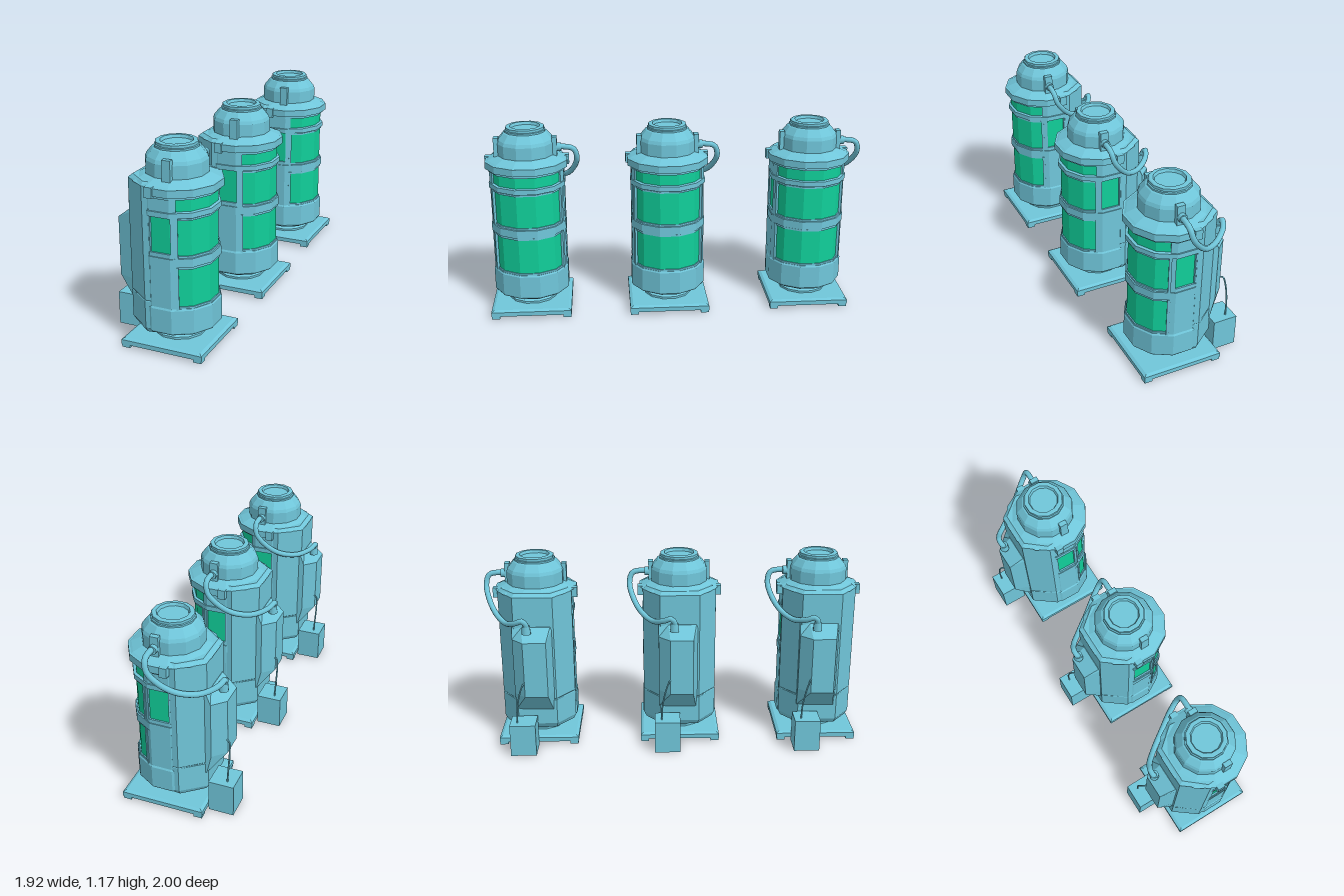
import * as THREE from 'three';

const blue = new THREE.MeshStandardMaterial({ color: 0x70c6da });
blue.name = 'blue metal';
const green = new THREE.MeshStandardMaterial({ color: 0x10cf9a });
green.name = 'green glass';

const RAD = Math.PI / 180;

function add(parent, name, geometry, material = blue) {
  const mesh = new THREE.Mesh(geometry, material);
  mesh.name = name;
  parent.add(mesh);
  return mesh;
}

// Hard facets without a separate material
function flat(geometry) {
  const g = geometry.index ? geometry.toNonIndexed() : geometry;
  g.computeVertexNormals();
  return g;
}

function box(w, h, d, x, y, z) {
  return new THREE.BoxGeometry(w, h, d).translate(x, y, z);
}

// Upright prism from [x, z] outline points
function prism(points, y0, y1) {
  const shape = new THREE.Shape(points.map(([x, z]) => new THREE.Vector2(x, -z)));
  return new THREE.ExtrudeGeometry(shape, { depth: y1 - y0, bevelEnabled: false })
    .rotateX(-Math.PI / 2).translate(0, y0, 0);
}

// Part of a twelve-sided ring between two angles (0 is the front, 90 is +x)
function sector(r0, r1, y0, y1, a0, a1) {
  const angles = [a0];
  for (let a = -345; a < 345; a += 30) if (a > a0 + 0.1 && a < a1 - 0.1) angles.push(a);
  angles.push(a1);
  const at = (r, a) => {
    const off = a - Math.round(a / 30) * 30;
    const d = r * Math.cos(15 * RAD) / Math.cos(off * RAD);
    return [d * Math.sin(a * RAD), d * Math.cos(a * RAD)];
  };
  return prism([...angles.map(a => at(r1, a)), ...angles.reverse().map(a => at(r0, a))], y0, y1);
}

// Twelve-sided turned part from [radius, y] points
function turned(points) {
  return flat(new THREE.LatheGeometry(points.map(p => new THREE.Vector2(...p)), 12, 15 * RAD));
}

// Skin over stacked cross-sections, each { y, points: [x, z] }
function loft(sections) {
  const n = sections[0].points.length;
  const pos = sections.flatMap(s => s.points.flatMap(([x, z]) => [x, s.y, z]));
  const idx = [];
  for (let s = 0; s < sections.length - 1; s++) {
    for (let i = 0; i < n; i++) {
      const a = s * n + i, b = s * n + (i + 1) % n;
      idx.push(a, b, b + n, a, b + n, a + n);
    }
  }
  const top = (sections.length - 1) * n;
  for (let i = 1; i < n - 1; i++) idx.push(0, i + 1, i, top, top + i, top + i + 1);
  const g = new THREE.BufferGeometry();
  g.setAttribute('position', new THREE.Float32BufferAttribute(pos, 3));
  g.setIndex(idx);
  return flat(g);
}

function tube(points, radius, sides) {
  const curve = new THREE.CatmullRomCurve3(points.map(p => new THREE.Vector3(...p)));
  return new THREE.TubeGeometry(curve, 40, radius, sides);
}

function createTank() {
  const tank = new THREE.Group();

  // Base plate with chamfered top and corner feet
  add(tank, 'basePlate', box(0.495, 0.027, 0.495, 0, 0.0315, 0));
  add(tank, 'basePlateTop', flat(new THREE.CylinderGeometry(0.325, 0.35, 0.01, 4, 1, false, Math.PI / 4).translate(0, 0.05, 0)));
  for (const x of [-0.22, 0.22]) for (const z of [-0.22, 0.22]) {
    add(tank, 'baseFoot', box(0.05, 0.02, 0.05, x, 0.01, z));
  }

  // Pedestal and lower body
  add(tank, 'pedestal', turned([[0.15, 0.05], [0.15, 0.068], [0.122, 0.08], [0.122, 0.09], [0.145, 0.102]]));
  add(tank, 'lowerBody', turned([[0, 0.1], [0.185, 0.1], [0.232, 0.125], [0.238, 0.135], [0.238, 0.27], [0.232, 0.28], [0.2, 0.28]]));

  // Glass cylinder and the rings around it
  add(tank, 'glass', turned([[0.222, 0.27], [0.222, 0.95]]), green);
  add(tank, 'middleRing', turned([[0.21, 0.52], [0.236, 0.525], [0.236, 0.575], [0.21, 0.58]]));
  add(tank, 'upperRing', turned([[0.21, 0.798], [0.238, 0.805], [0.238, 0.835], [0.21, 0.842]]));

  // Solid rear wall between the rings, leaving the windows open
  add(tank, 'lowerWall', sector(0.2, 0.232, 0.28, 0.525, 66, 294));
  add(tank, 'windowWall', sector(0.2, 0.232, 0.575, 0.805, 104, 256));
  add(tank, 'upperWall', sector(0.2, 0.232, 0.835, 0.93, 66, 294));

  // Window posts and frames, mirrored
  for (const s of [-1, 1]) {
    const arc = (r, y0, y1, a, b) => sector(0.21, r, y0, y1, Math.min(s * a, s * b), Math.max(s * a, s * b));
    add(tank, 'windowPost', arc(0.232, 0.575, 0.805, 65, 74));
    add(tank, 'upperFrame', arc(0.238, 0.575, 0.805, 64, 68));
    add(tank, 'lowerFrame', arc(0.238, 0.275, 0.525, 64, 68));
    add(tank, 'sideWindowSill', arc(0.232, 0.575, 0.6, 74, 104));
  }
  for (const [y0, y1] of [[0.28, 0.291], [0.51, 0.522], [0.577, 0.588], [0.79, 0.8]]) {
    add(tank, 'frameRail', sector(0.21, 0.229, y0, y1, -65, 65));
  }

  // Collar round the front, ending in small blocks at the housing
  add(tank, 'collarLower', sector(0.2, 0.238, 0.908, 0.93, -100, 100));
  add(tank, 'collar', sector(0.2, 0.256, 0.925, 0.968, -100, 100));
  for (const s of [-1, 1]) add(tank, 'collarEnd', box(0.035, 0.06, 0.045, s * 0.24, 0.945, -0.045));

  // Angular rear housing
  const housing = k => [[-0.2, -0.05], [0.2, -0.05], [0.222 * k, -0.065], [0.225 * k, -0.1],
    [0.12 * k, -0.238 * k], [-0.12 * k, -0.238 * k], [-0.225 * k, -0.1], [-0.222 * k, -0.065]];
  add(tank, 'rearHousing', loft([
    { y: 0.11, points: housing(0.93) }, { y: 0.14, points: housing(1) },
    { y: 0.3, points: housing(1) }, { y: 0.305, points: housing(0.985) }, { y: 0.31, points: housing(1) },
    { y: 0.965, points: housing(1) }, { y: 0.985, points: housing(0.9) },
  ]));

  // Backpack unit with tapered ends
  const flush = [[-0.12, -0.2], [0.13, -0.2], [0.13, -0.232], [0.07, -0.24], [-0.1, -0.24]];
  const full = [[-0.12, -0.2], [0.13, -0.2], [0.13, -0.26], [0.06, -0.332], [-0.08, -0.332]];
  add(tank, 'backpack', loft([
    { y: 0.24, points: flush }, { y: 0.36, points: full },
    { y: 0.71, points: full }, { y: 0.78, points: flush },
  ]));

  // Domed lid with recessed cap
  add(tank, 'lid', turned([[0.25, 0.966], [0.235, 0.975], [0.19, 0.995], [0.176, 1.0], [0.176, 1.075],
    [0.168, 1.095], [0.135, 1.135], [0.125, 1.14], [0.125, 1.15], [0.118, 1.153], [0.118, 1.168],
    [0.112, 1.172], [0.092, 1.172], [0.085, 1.155], [0, 1.155]]));
  for (const s of [-1, 1]) {
    add(tank, 'lidLug', box(0.03, 0.12, 0.05, s * 0.175, 1.05, 0.03));
  }

  // Hose from the lid to the backpack
  add(tank, 'hose', tube([[0.16, 1.04, 0.03], [0.23, 1.045, 0.035], [0.29, 1.03, 0.035], [0.308, 0.97, 0.02],
    [0.285, 0.89, -0.04], [0.235, 0.825, -0.12], [0.166, 0.8, -0.22], [0.1, 0.825, -0.295],
    [0.055, 0.845, -0.315], [0.035, 0.82, -0.31], [0.035, 0.76, -0.29]], 0.017, 10));
  add(tank, 'hoseSocket', new THREE.CylinderGeometry(0.026, 0.026, 0.04, 10).rotateZ(Math.PI / 2).translate(0.195, 1.042, 0.03));
  add(tank, 'hoseFitting', new THREE.CylinderGeometry(0.024, 0.028, 0.05, 10).translate(0.035, 0.785, -0.3));

  // Control box and its cable
  add(tank, 'controlBox', box(0.157, 0.2, 0.15, 0.079, 0.1, -0.327));
  add(tank, 'cable', tube([[0.06, 0.45, -0.325], [0.07, 0.445, -0.345], [0.09, 0.39, -0.355],
    [0.11, 0.29, -0.355], [0.115, 0.19, -0.35]], 0.005, 6));
  return tank;
}

export function createModel() {
  const model = new THREE.Group();
  model.name = 'tankRow';

  // Three identical tanks on a diagonal, each turned to face between +x and +z
  [[-0.61, 0.645], [0, 0.035], [0.61, -0.607]].forEach(([x, z], i) => {
    const tank = createTank();
    tank.name = 'tank' + (i + 1);
    tank.position.set(x, 0, z);
    tank.rotation.y = Math.PI / 4;
    model.add(tank);
  });
  return model;
}
